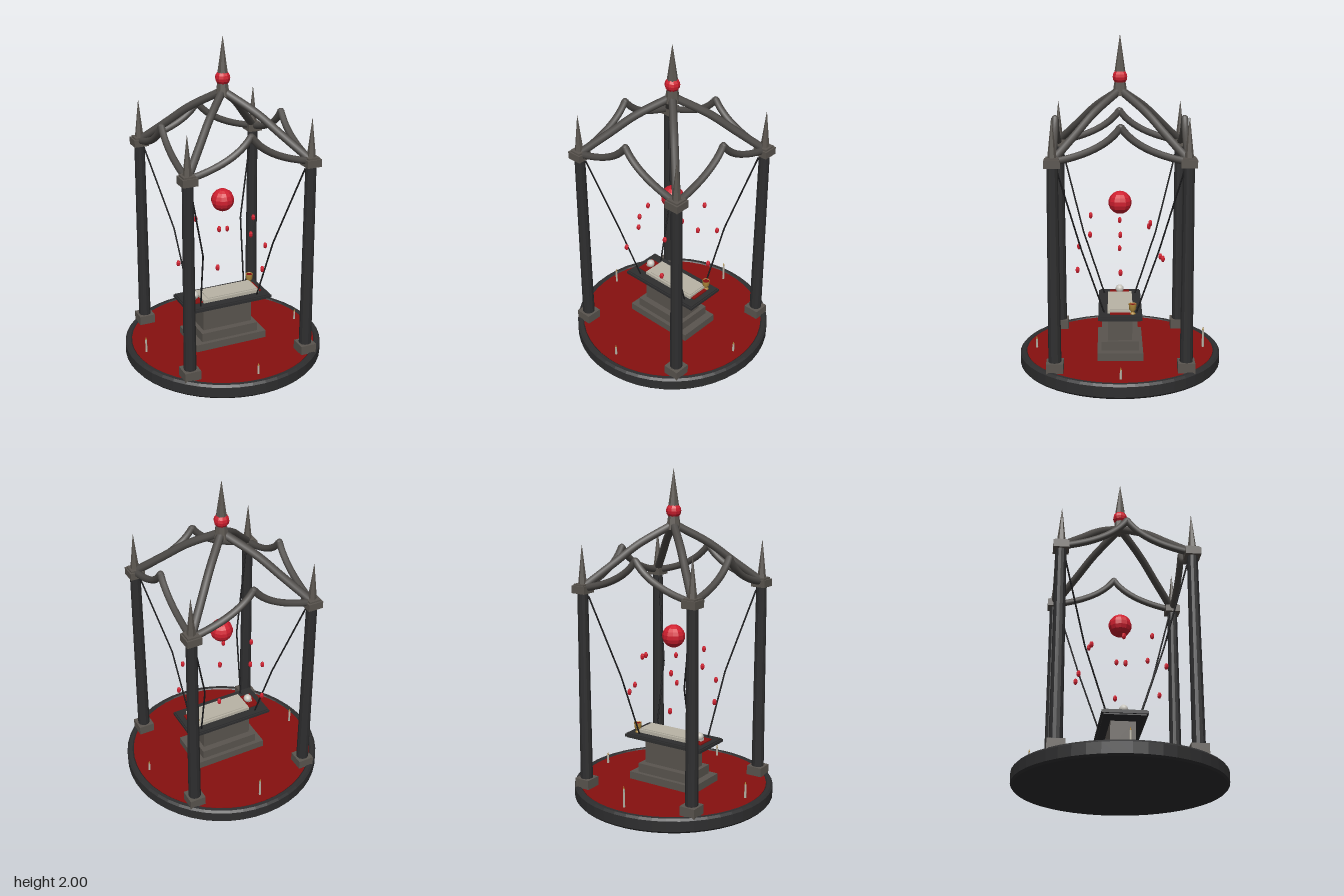
import * as THREE from 'three';

const mat = (name, color, flat = false) => {
  const m = new THREE.MeshStandardMaterial({ color, flatShading: flat });
  m.name = name;
  return m;
};
const V = (x, y, z) => new THREE.Vector3(x, y, z);

export function createModel() {
  const root = new THREE.Group();
  root.name = 'ritualPavilion';

  const dark = mat('darkStone', 0x2e2e2f, true);
  const stone = mat('greyStone', 0x5a554f, true);
  const ribStone = mat('ribStone', 0x4f4c49);
  const floorRed = mat('deepRed', 0x86100f, true);
  const crimson = mat('crimson', 0xd01f2f, true);
  const cream = mat('cream', 0xb9b4a6, true);
  const bone = mat('bone', 0xc9c6be);
  const gold = mat('gold', 0xb08a3c);
  const chainBlack = mat('chainBlack', 0x1c1c1e);

  const add = (name, geo, material, x = 0, y = 0, z = 0) => {
    const m = new THREE.Mesh(geo, material);
    m.name = name;
    m.position.set(x, y, z);
    root.add(m);
    return m;
  };
  // Box given by its bottom and top height
  const box = (name, w, d, y0, y1, material, x = 0, z = 0) =>
    add(name, new THREE.BoxGeometry(w, y1 - y0, d), material, x, (y0 + y1) / 2, z);
  const cyl = (name, rTop, rBottom, y0, y1, sides, material, x = 0, z = 0) =>
    add(name, new THREE.CylinderGeometry(rTop, rBottom, y1 - y0, sides), material, x, (y0 + y1) / 2, z);
  const lathe = (pts, sides) =>
    new THREE.LatheGeometry(pts.map(p => new THREE.Vector2(p[0], p[1])), sides);

  // Round plinth with raised rim and red floor
  add('plinth', lathe([[0, 0], [0.605, 0], [0.615, 0.012], [0.615, 0.075], [0.603, 0.088],
    [0.582, 0.088], [0.573, 0.078], [0, 0.078]], 48), dark);
  cyl('redFloor', 0.574, 0.574, 0.076, 0.083, 48, floorRed);

  // Corner columns with base, capital, finial, rib and chain
  const C = 0.383;
  for (const sx of [-1, 1]) for (const sz of [-1, 1]) {
    const x = sx * C, z = sz * C;
    box('columnBase', 0.1, 0.1, 0.08, 0.14, stone, x, z);
    cyl('column', 0.032, 0.038, 0.14, 1.295, 12, dark, x, z);
    box('capital', 0.092, 0.092, 1.29, 1.335, stone, x, z);
    box('capitalTop', 0.074, 0.074, 1.335, 1.345, stone, x, z);
    cyl('finial', 0.001, 0.026, 1.345, 1.57, 6, stone, x, z);

    const rib = new THREE.CatmullRomCurve3([
      V(sx * 0.375, 1.33, sz * 0.375), V(sx * 0.25, 1.46, sz * 0.25),
      V(sx * 0.15, 1.565, sz * 0.15), V(sx * 0.015, 1.67, sz * 0.015)]);
    add('roofRib', new THREE.TubeGeometry(rib, 16, 0.024, 8), ribStone);

    const chain = new THREE.CurvePath();
    const a = V(sx * 0.36, 1.27, sz * 0.36), b = V(sx * 0.228, 0.77, sz * 0.228), c = V(sx * 0.19, 0.37, sz * 0.095);
    chain.add(new THREE.LineCurve3(a, b));
    chain.add(new THREE.LineCurve3(b, c));
    add('chain', new THREE.TubeGeometry(chain, 16, 0.005, 6), chainBlack);
  }

  // Pointed arches on the four sides, two mirrored halves each
  for (let i = 0; i < 4; i++) {
    const side = new THREE.Group();
    side.name = 'sideArch';
    side.rotation.y = i * Math.PI / 2;
    for (const s of [-1, 1]) {
      const curve = new THREE.QuadraticBezierCurve3(V(s * 0.375, 1.32, C), V(s * 0.09, 1.375, C), V(0, 1.515, C));
      const half = new THREE.Mesh(new THREE.TubeGeometry(curve, 14, 0.021, 8), ribStone);
      half.name = 'archHalf';
      side.add(half);
    }
    const tip = new THREE.Mesh(new THREE.SphereGeometry(0.021, 8, 6), ribStone);
    tip.name = 'archTip';
    tip.position.set(0, 1.512, C);
    side.add(tip);
    root.add(side);
  }

  // Crown: hub, gem and spire
  cyl('crownHub', 0.032, 0.045, 1.65, 1.735, 8, stone);
  add('crownGem', new THREE.SphereGeometry(0.045, 10, 8), crimson, 0, 1.758, 0);
  cyl('spire', 0.001, 0.033, 1.78, 2, 8, stone);

  // Floating orb and two rings of drops
  add('floatingOrb', new THREE.SphereGeometry(0.07, 12, 9), crimson, 0, 1.005, 0);
  const rings = [
    { r: 0.207, ys: [0.855, 0.83, 0.9, 0.845, 0.83, 0.9] },
    { r: 0.293, ys: [0.65, 0.625, 0.692, 0.64, 0.625, 0.692] }];
  for (const { r, ys } of rings) ys.forEach((y, i) => {
    const t = i * Math.PI / 3;
    const drop = add('bloodDrop', new THREE.SphereGeometry(0.0135, 6, 5), crimson, r * Math.cos(t), y, r * Math.sin(t));
    drop.scale.y = 1.5;
  });

  // Altar: steps, pedestal and slab
  box('lowerStep', 0.47, 0.275, 0.08, 0.13, stone);
  box('upperStep', 0.375, 0.225, 0.13, 0.187, stone);
  box('pedestal', 0.325, 0.145, 0.187, 0.35, stone);
  box('slabUnderside', 0.535, 0.24, 0.343, 0.35, dark);
  box('slab', 0.555, 0.262, 0.35, 0.366, dark);
  box('slabTop', 0.54, 0.247, 0.366, 0.373, dark);
  box('redRunner', 0.475, 0.12, 0.372, 0.38, floorRed);
  box('shroud', 0.375, 0.15, 0.374, 0.394, cream, 0.028);
  box('shroudFold', 0.335, 0.125, 0.394, 0.399, cream, 0.04);

  // Skull-like ball and goblet
  add('boneBall', new THREE.SphereGeometry(0.026, 12, 10), bone, -0.19, 0.403, 0);
  box('boneJaw', 0.026, 0.03, 0.379, 0.392, bone, -0.2, 0);
  const gx = 0.219, gz = -0.073;
  add('goblet', lathe([[0, 0], [0.017, 0], [0.017, 0.006], [0.009, 0.012], [0.011, 0.02],
    [0.02, 0.03], [0.024, 0.065], [0.021, 0.065], [0.019, 0.058], [0, 0.058]], 14), gold, gx, 0.372, gz);
  cyl('wine', 0.02, 0.02, 0.428, 0.433, 14, floorRed, gx, gz);

  // Candles on the floor rim
  for (const [x, z, top] of [[-0.515, 0, 0.168], [0.515, 0, 0.138], [0, 0.515, 0.138], [0, -0.515, 0.195]]) {
    cyl('candle', 0.006, 0.007, 0.08, top, 8, cream, x, z);
    cyl('flame', 0.001, 0.005, top, top + 0.017, 6, gold, x, z);
  }
  return root;
}
